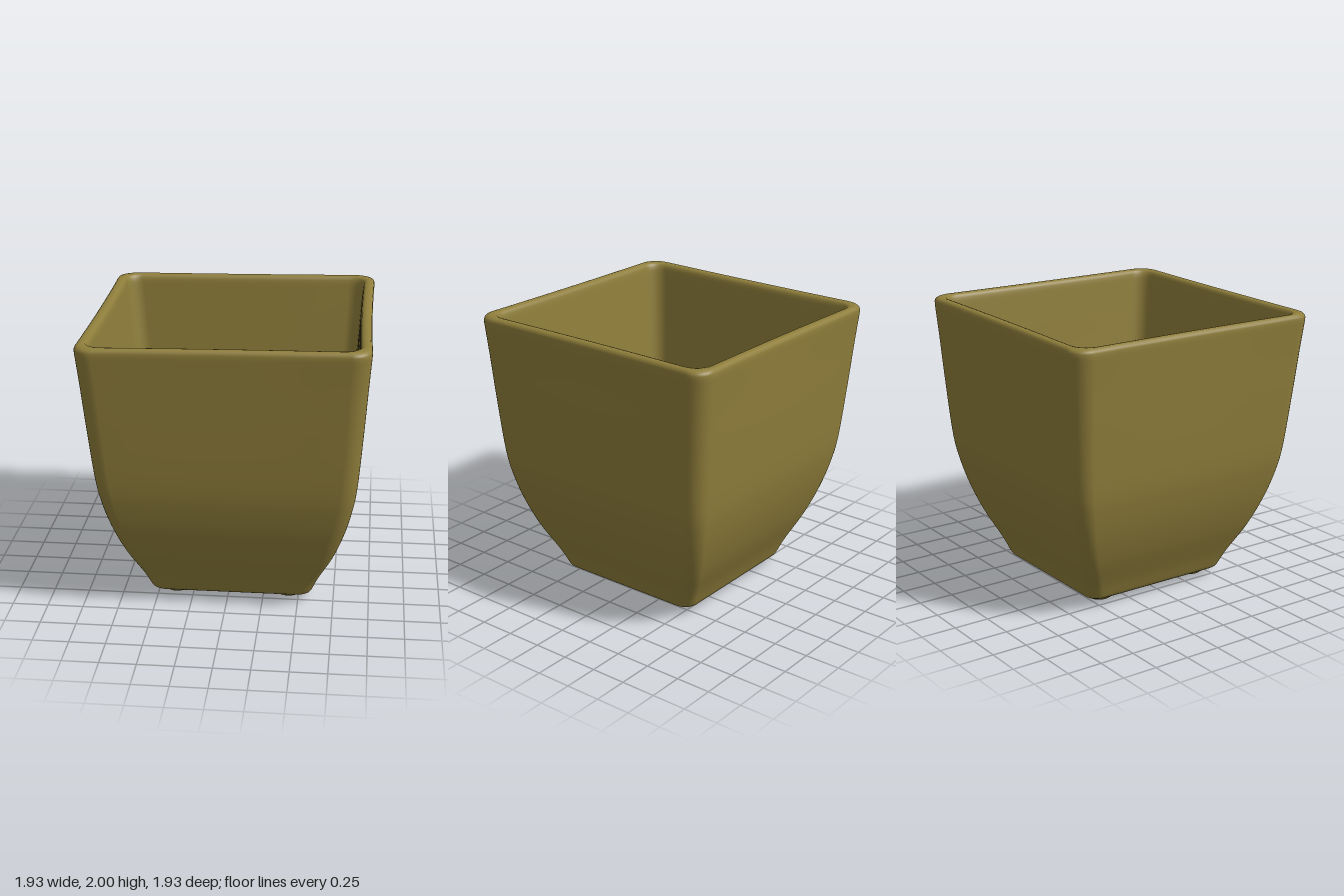
import * as THREE from 'three';

const CX = 0.027, CZ = -0.013;        // base sits slightly off centre
const FLOOR_Y = 0.05, FLOOR_TOP = 0.14;

// Rounded square outline, with extra points along each side
function outline(half, radius) {
  const corner = [], pts = [], steps = 8, along = 8;
  for (let q = 0; q < 4; q++) {
    const a0 = q * Math.PI / 2, c = half - radius;
    const sx = q === 0 || q === 3 ? 1 : -1, sy = q < 2 ? 1 : -1;
    const arc = [];
    for (let i = 0; i <= steps; i++) {
      const a = a0 + i / steps * Math.PI / 2;
      arc.push(new THREE.Vector2(sx * c + radius * Math.cos(a), sy * c + radius * Math.sin(a)));
    }
    corner.push(arc);
  }
  corner.forEach((arc, q) => {
    pts.push(...arc);
    const from = arc[steps], to = corner[(q + 1) % 4][0];
    for (let i = 1; i < along; i++) pts.push(from.clone().lerp(to, i / along));
  });
  return pts;
}

// Skin the outlines along a profile of (half width, height)
function loft(profile, radiusAt) {
  const pos = [], index = [];
  let n = 0;
  profile.forEach((p, i) => {
    const ring = outline(p.x, radiusAt(p.y, i / (profile.length - 1)));
    n = ring.length;
    const shift = 1 - p.y / 2, top = (p.y / 2) ** 4;
    for (const v of ring) {
      // sides bow in a little and the rim tilts towards the top
      const u = Math.min(Math.abs(v.x), Math.abs(v.y)) / p.x;
      const k = 1 - 0.012 * top * (1 - u * u);
      const bx = Math.abs(v.x) > Math.abs(v.y) ? k : 1, bz = Math.abs(v.x) > Math.abs(v.y) ? 1 : k;
      pos.push(v.x * bx + CX * shift, p.y + 0.014 * v.x * top, v.y * bz + CZ * shift);
    }
  });
  for (let i = 0; i < profile.length - 1; i++)
    for (let j = 0; j < n; j++) {
      const a = i * n + j, b = i * n + (j + 1) % n;
      index.push(a, a + n, b, b, a + n, b + n);
    }
  const g = new THREE.BufferGeometry();
  g.setAttribute('position', new THREE.Float32BufferAttribute(pos, 3));
  g.setIndex(index);
  g.computeVertexNormals();
  return g;
}

const curve = (pts) => pts.map(([x, y]) => new THREE.Vector2(x, y));

export function createModel() {
  const group = new THREE.Group();
  const glaze = new THREE.MeshStandardMaterial({ color: 0x8f7e3b });
  const add = (name, geometry, x = 0, y = 0, z = 0) => {
    const mesh = new THREE.Mesh(geometry, glaze);
    mesh.name = name;
    mesh.position.set(x, y, z);
    group.add(mesh);
    return mesh;
  };

  // Wall: under the base, up the outside, over the rim, down the inside
  const outside = new THREE.SplineCurve(curve([
    [0.575, 0.085], [0.623, 0.2], [0.72, 0.4], [0.795, 0.6], [0.85, 0.8], [0.885, 1],
    [0.922, 1.4], [0.947, 1.7], [0.968, 1.93]])).getPoints(48);
  const inside = new THREE.SplineCurve(curve([
    [0.885, 1.93], [0.865, 1.7], [0.84, 1.4], [0.805, 1], [0.77, 0.8], [0.715, 0.6],
    [0.645, 0.4], [0.575, 0.22], [0.555, 0.175]])).getPoints(40);
  const profile = [
    ...curve([[0.48, FLOOR_Y], [0.5, FLOOR_Y], [0.53, 0.052], [0.552, 0.058], [0.566, 0.069]]),
    ...outside,
    ...curve([[0.969, 1.955], [0.965, 1.969], [0.956, 1.98], [0.943, 1.985], [0.925, 1.986],
      [0.908, 1.982], [0.896, 1.972], [0.889, 1.955]]),
    ...inside,
    ...curve([[0.545, 0.158], [0.53, 0.146], [0.51, FLOOR_TOP], [0.48, FLOOR_TOP]]),
  ];
  add('wall', loft(profile, (y, t) => (t > 0.56 ? 0.08 + 0.015 * y : 0.09 + 0.02 * y)));

  // Floor with four drain holes and an opening for the centre dome
  const floor = new THREE.Shape(outline(0.485, 0.09));
  const cut = (x, y, r) => floor.holes.push(new THREE.Path().absarc(x, y, r, 0, Math.PI * 2, true));
  for (let i = 0; i < 4; i++)
    cut(0.358 * Math.cos(i * Math.PI / 2), 0.358 * Math.sin(i * Math.PI / 2), 0.066);
  cut(0, 0, 0.27);
  const slab = new THREE.ExtrudeGeometry(floor,
    { depth: FLOOR_TOP - FLOOR_Y, bevelEnabled: false, curveSegments: 32 });
  slab.rotateX(-Math.PI / 2);
  add('floor', slab, CX, FLOOR_Y, CZ);

  // Gently raised dome, hollow underneath
  const rise = (r) => 0.035 * (0.5 + 0.5 * Math.cos(Math.PI * r / 0.275));
  const under = [], over = [];
  for (let i = 0; i <= 14; i++) {
    const r = 0.275 * i / 14;
    under.push(new THREE.Vector2(r, FLOOR_Y + rise(r)));
    over.unshift(new THREE.Vector2(r, FLOOR_TOP + rise(r)));
  }
  add('domeUnderside', new THREE.LatheGeometry(under, 40), CX, 0, CZ);
  add('domeTop', new THREE.LatheGeometry(over, 40), CX, 0, CZ);

  // Low rounded feet near the corners
  const footProfile = new THREE.SplineCurve(curve([
    [0, 0], [0.05, 0.002], [0.08, 0.01], [0.1, 0.027], [0.115, 0.044], [0.135, 0.052]])).getPoints(16);
  const foot = new THREE.LatheGeometry(footProfile, 32);
  for (const sx of [-1, 1])
    for (const sz of [-1, 1]) add('foot', foot, CX + sx * 0.4, 0, CZ + sz * 0.4);

  return group;
}
